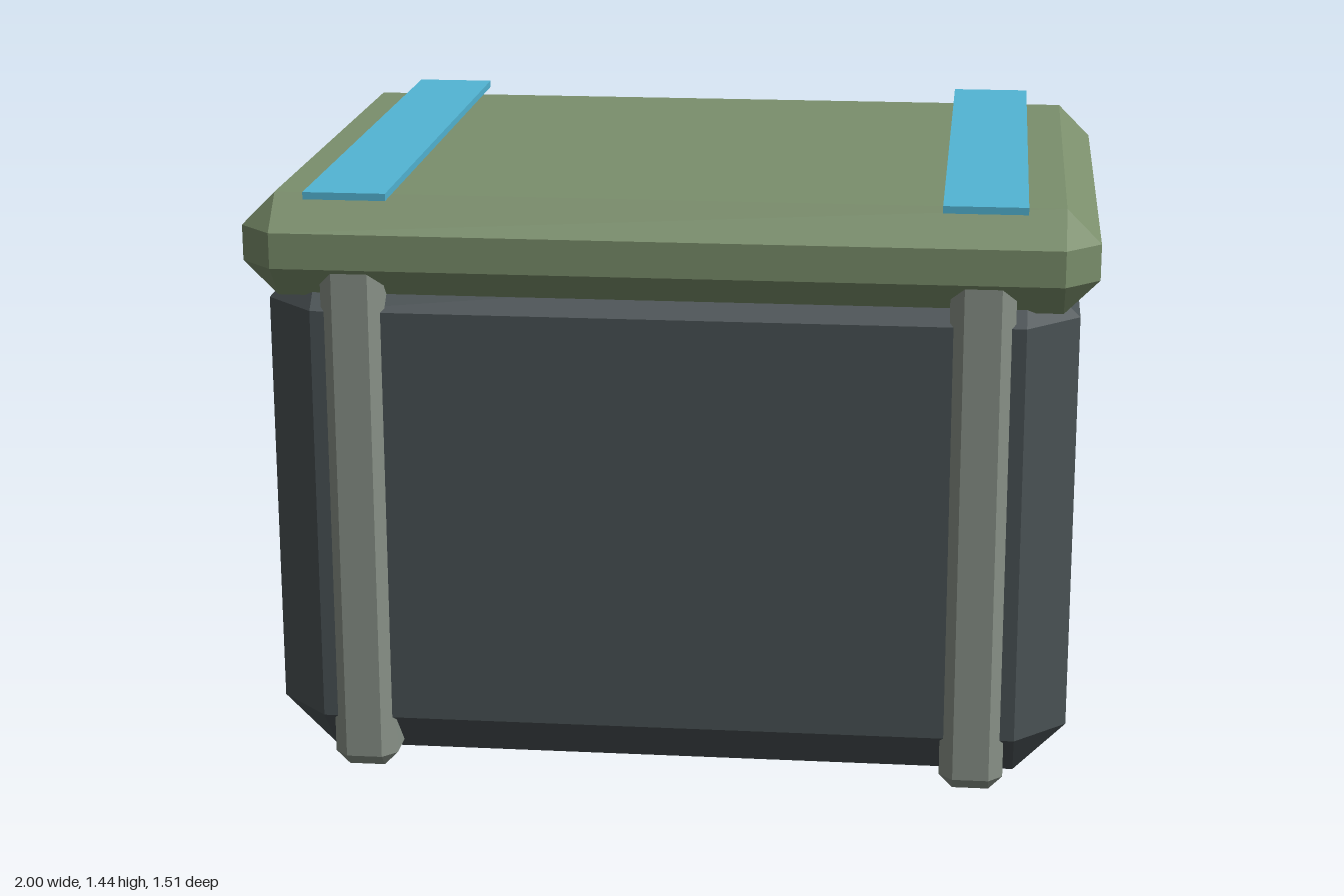
import * as THREE from 'three';
import { ConvexGeometry } from 'three/addons/geometries/ConvexGeometry.js';

const paint = (color) => new THREE.MeshStandardMaterial({ color, flatShading: true });
const slate = paint(0x4a5255);
const olive = paint(0x7b8f6c);
const grey = paint(0x8a9389);
const blue = paint(0x52b5d4);
const gold = paint(0xd4ab58);
const black = paint(0x22292c);

// Box given by its min and max corners, with every edge cut at 45 degrees by c
function chamferBox(name, material, min, max, c) {
  const half = max.map((m, i) => (m - min[i]) / 2);
  const points = [];
  for (const sx of [-1, 1]) for (const sy of [-1, 1]) for (const sz of [-1, 1]) {
    for (let axis = 0; axis < 3; axis++) {
      const [x, y, z] = half.map((h, i) => (i === axis ? h : h - c));
      points.push(new THREE.Vector3(sx * x, sy * y, sz * z));
    }
  }
  const mesh = new THREE.Mesh(new ConvexGeometry(points), material);
  mesh.name = name;
  mesh.position.set(...min.map((m, i) => m + half[i]));
  return mesh;
}

function box(name, material, w, h, d, x, y, z) {
  const mesh = new THREE.Mesh(new THREE.BoxGeometry(w, h, d), material);
  mesh.name = name;
  mesh.position.set(x, y, z);
  return mesh;
}

export function createModel() {
  const crate = new THREE.Group();
  crate.name = 'crate';

  // Body, its upper bevel tucked into the lid
  crate.add(chamferBox('body', slate, [-0.96, 0.004, -0.66], [0.96, 1.268, 0.71], 0.124));

  // Lid
  crate.add(chamferBox('lid', olive, [-1, 1.171, -0.695], [1, 1.418, 0.745], 0.081));

  // Ribs wrapping the body and straps lying over the lid
  for (const [side, x] of [['left', 0.735], ['right', -0.735]]) {
    crate.add(chamferBox(side + 'Rib', grey, [x - 0.076, 0, -0.682], [x + 0.076, 1.3, 0.734], 0.033));
    crate.add(box(side + 'Strap', blue, 0.193, 0.017, 1.465, x, 1.43, 0.023));
  }

  // Latch on the back
  crate.add(chamferBox('latch', gold, [-0.139, 0.785, -0.757], [0.139, 1.18, -0.6], 0.027));

  // Dark plate below the latch
  crate.add(chamferBox('plate', black, [-0.437, 0.21, -0.698], [0.437, 0.785, -0.62], 0.024));

  // Six-armed emblem made of three crossed bars
  const emblem = new THREE.Group();
  emblem.name = 'emblem';
  for (let i = 0; i < 3; i++) {
    const bar = box('emblemBar', blue, 0.06, 0.435, 0.018, 0, 0, 0);
    bar.rotation.z = (i * Math.PI) / 3;
    emblem.add(bar);
  }
  emblem.position.set(0, 0.498, -0.719);
  crate.add(emblem);

  return crate;
}
